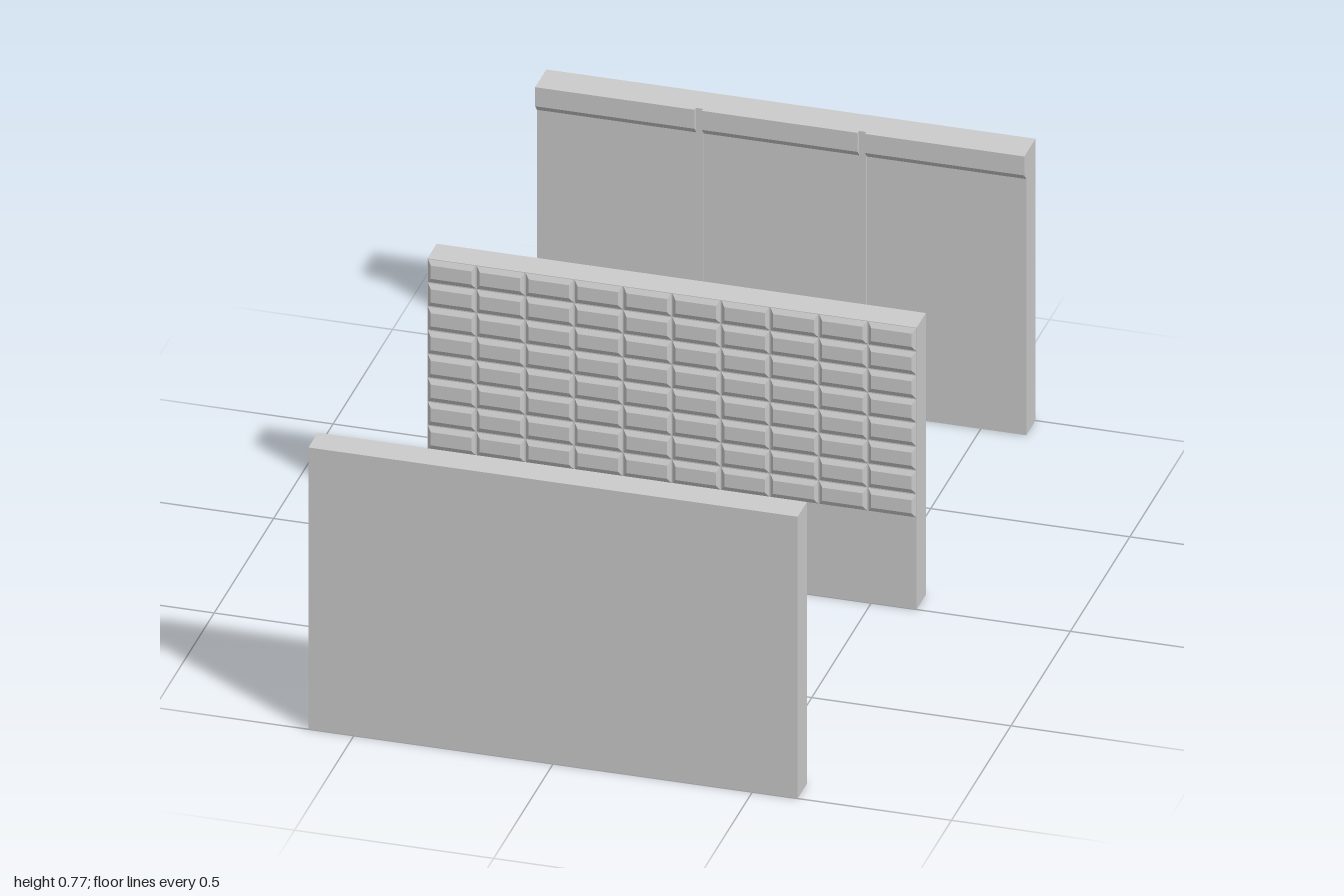
import * as THREE from 'three';
import { mergeGeometries } from 'three/addons/utils/BufferGeometryUtils.js';

const W = 1.228, H = 0.77, T = 0.078;
const COLS = 10, ROWS = 8, TILE_BOTTOM = 0.25, RELIEF = 0.007;
const grey = new THREE.MeshStandardMaterial({ color: 0xcccccc, flatShading: true });

function mesh(name, geometry) {
  const m = new THREE.Mesh(geometry, grey);
  m.name = name;
  return m;
}

// Plain slab standing on the ground, from zBack to zBack + T
function slab(name, zBack) {
  const m = mesh(name, new THREE.BoxGeometry(W, H, T));
  m.position.set(0, H / 2, zBack + T / 2);
  return m;
}

// One tile with bevelled edges, its back on z = 0
function tileGeometry(w, h, bevelX, bevelY) {
  const g = new THREE.BoxGeometry(w, h, RELIEF);
  g.translate(0, 0, RELIEF / 2);
  const p = g.attributes.position;
  for (let i = 0; i < p.count; i++) {
    if (p.getZ(i) < RELIEF / 2) continue;
    p.setX(i, p.getX(i) - Math.sign(p.getX(i)) * bevelX);
    p.setY(i, p.getY(i) - Math.sign(p.getY(i)) * bevelY);
  }
  g.computeVertexNormals();
  return g;
}

// Grid of bevelled tiles covering the upper part of a wall face
function tileField(name, z, facesBack) {
  const w = W / COLS, h = (H - TILE_BOTTOM) / ROWS;
  const tile = tileGeometry(w - 0.003, h - 0.003, 0.009, 0.013);
  const tiles = [];
  for (let r = 0; r < ROWS; r++) {
    for (let c = 0; c < COLS; c++) {
      tiles.push(tile.clone().translate((c + 0.5) * w - W / 2, TILE_BOTTOM + (r + 0.5) * h, 0));
    }
  }
  const m = mesh(name, mergeGeometries(tiles));
  m.position.z = z;
  if (facesBack) m.rotation.y = Math.PI;
  return m;
}

// Overhanging coping with a chamfered underside, run along x
function copingSegment(x0, x1) {
  const s = new THREE.Shape();
  s.moveTo(0.93, 0.70);
  s.lineTo(0.93, H);
  s.lineTo(0.906, H);
  s.lineTo(0.906, 0.718);
  s.lineTo(0.922, 0.70);
  const g = new THREE.ExtrudeGeometry(s, { depth: x1 - x0, bevelEnabled: false });
  g.rotateY(Math.PI / 2);
  g.translate(x0, 0, 0);
  return mesh('coping', g);
}

export function createModel() {
  const model = new THREE.Group();
  model.name = 'wallPanels';

  // Front wall: plain outside, tiled on the back
  const front = new THREE.Group();
  front.name = 'frontWall';
  front.add(slab('frontSlab', 1 - T), tileField('frontWallTiles', 1 - T, true));

  // Middle wall: tiled on both faces
  const middle = new THREE.Group();
  middle.name = 'middleWall';
  middle.add(slab('middleSlab', -T),
    tileField('middleFrontTiles', 0, false), tileField('middleBackTiles', -T, true));

  // Back wall: three bays with joint strips and a split coping
  const back = new THREE.Group();
  back.name = 'backWall';
  back.add(slab('backSlab', -1));
  const joint = W / 6, gap = 0.009;
  const edges = [[-W / 2, -joint - gap], [-joint + gap, joint - gap], [joint + gap, W / 2]];
  for (const [x0, x1] of edges) back.add(copingSegment(x0, x1));
  for (const x of [-joint, joint]) {
    const strip = mesh('jointStrip', new THREE.BoxGeometry(gap * 2, H, 0.012));
    strip.position.set(x, H / 2, -0.922);
    back.add(strip);
  }

  model.add(front, middle, back);
  return model;
}
